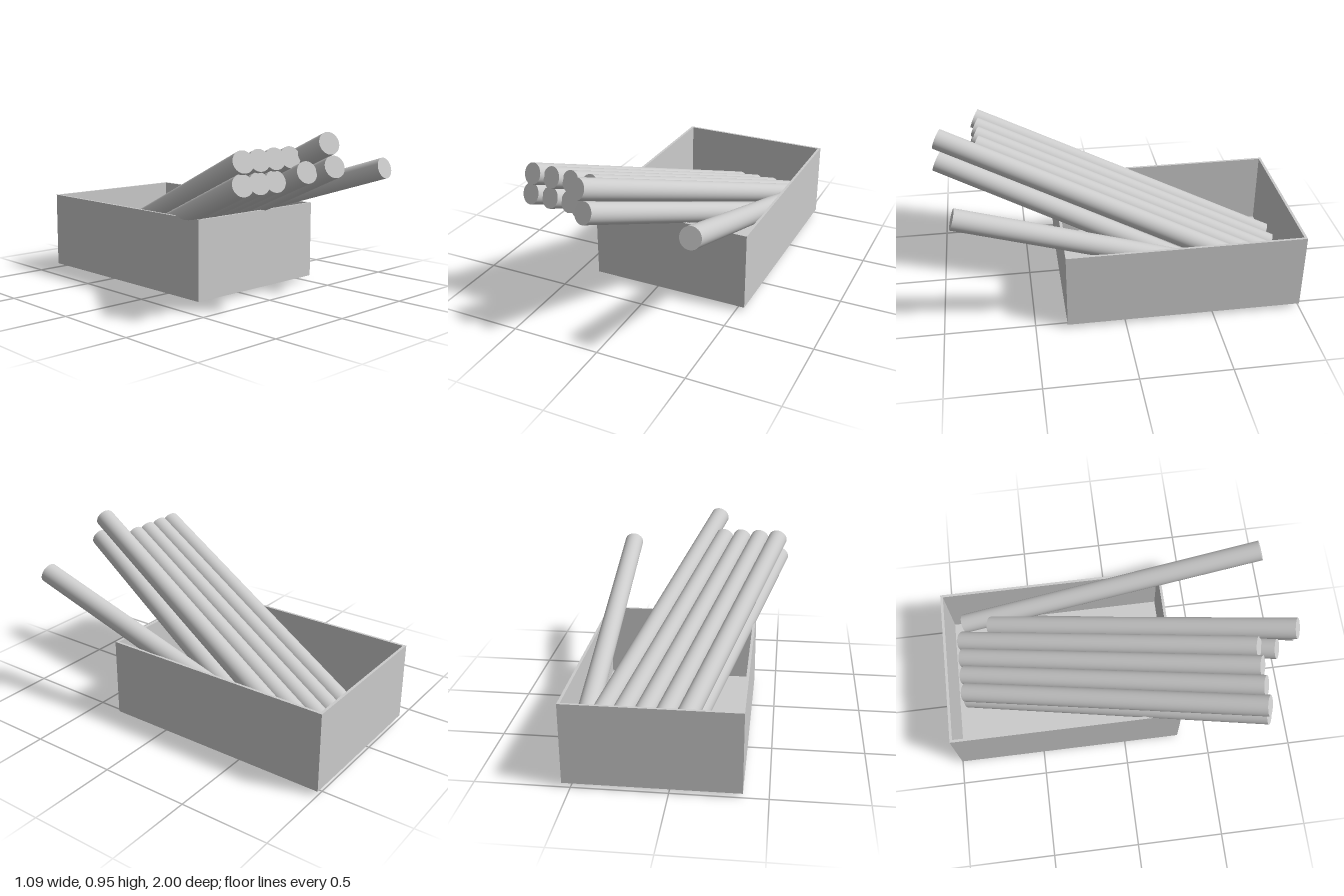
import * as THREE from 'three';

const material = new THREE.MeshStandardMaterial({ color: 0xcccccc });
const RADIUS = 0.058;

// Solid rod between two end-cap centres
function rod(name, from, to) {
  const a = new THREE.Vector3(...from), b = new THREE.Vector3(...to);
  const dir = b.clone().sub(a);
  const mesh = new THREE.Mesh(new THREE.CylinderGeometry(RADIUS, RADIUS, dir.length(), 40), material);
  mesh.position.copy(a).add(b).multiplyScalar(0.5);
  mesh.quaternion.setFromUnitVectors(new THREE.Vector3(0, 1, 0), dir.normalize());
  mesh.name = name;
  return mesh;
}

// Open crate: rectangular wall ring plus a floor
function crate(x0, x1, y0, y1, z0, z1, t) {
  const group = new THREE.Group();
  group.name = 'crate';
  const rect = (Path, inset) => new Path([
    [x0 + inset, -z1 + inset], [x1 - inset, -z1 + inset],
    [x1 - inset, -z0 - inset], [x0 + inset, -z0 - inset],
  ].map(([x, y]) => new THREE.Vector2(x, y)));
  const outline = rect(THREE.Shape, 0);
  outline.holes.push(rect(THREE.Path, t));
  const wallGeometry = new THREE.ExtrudeGeometry(outline, { depth: y1 - y0, bevelEnabled: false });
  wallGeometry.rotateX(-Math.PI / 2).translate(0, y0, 0);
  const walls = new THREE.Mesh(wallGeometry, material);
  walls.name = 'crateWalls';
  const floor = new THREE.Mesh(new THREE.BoxGeometry(x1 - x0 - 2 * t, t, z1 - z0 - 2 * t), material);
  floor.position.set((x0 + x1) / 2, y0 + t / 2, (z0 + z1) / 2);
  floor.name = 'crateFloor';
  group.add(walls, floor);
  return group;
}

export function createModel() {
  const model = new THREE.Group();
  model.name = 'crateOfRods';
  model.add(crate(-0.37, 0.546, 0.025, 0.47, -1, 0.325, 0.015));

  // Stacked rows leaning out over the front
  for (let i = 0; i < 4; i++) {
    const x = i * 0.113;
    model.add(rod('upperRod' + (i + 1), [-0.48 + x, 0.818, 0.76], [0.022 + x, 0.168, -0.93]));
    if (i < 3) model.add(rod('lowerRod' + (i + 1), [-0.493 + x * 1.03, 0.706, 0.77], [0.02 + x * 1.02, 0.056, -0.93]));
  }

  // Loose rods beside the stack
  model.add(rod('lowerRod4', [-0.14, 0.75, 0.87], [0.37, 0.1, -0.83]));
  model.add(rod('looseUpperRod', [-0.093, 0.898, 0.968], [0.412, 0.238, -0.735]));
  model.add(rod('looseLowerRod', [-0.055, 0.78, 0.975], [0.468, 0.122, -0.72]));
  model.add(rod('straightRod', [0.476, 0.728, 0.895], [0.476, 0.168, -0.905]));
  return model;
}
